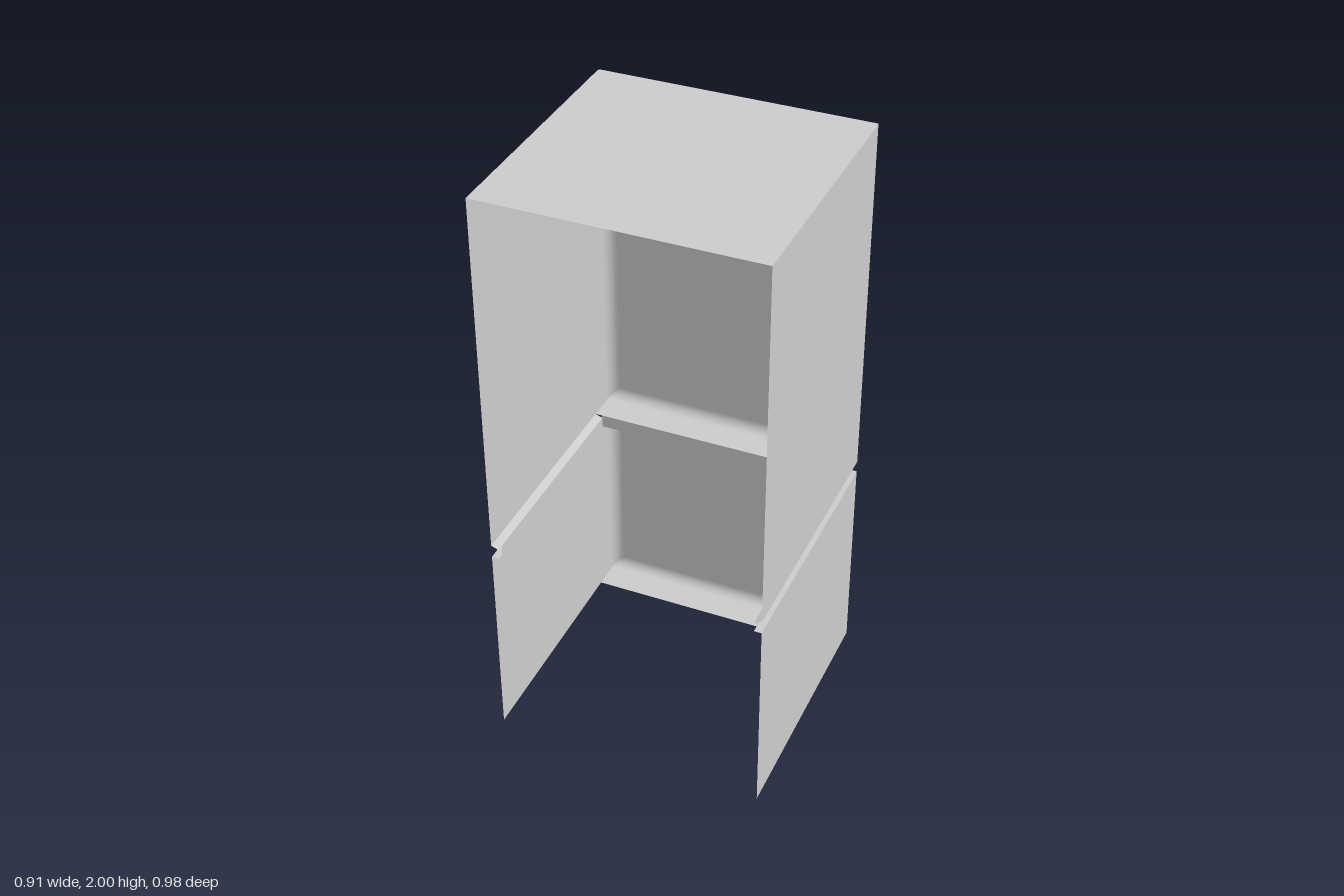
import * as THREE from 'three';

const W = 0.455, BACK = 0.487, DOOR = -0.405, R = 0.035;
const LIP = -0.28, NECK_W = 0.43, NECK_BACK = 0.465;
const UPPER_Y = 0.755, LOWER_Y = 0.71, SLOPE = 0.01;

const mat = new THREE.MeshStandardMaterial({ color: 0xcccccc, side: THREE.DoubleSide });

function add(group, name, geometry) {
  const mesh = new THREE.Mesh(geometry, mat);
  mesh.name = name;
  group.add(mesh);
  return mesh;
}

// Smooth surface between two rows of points
function patch(a, b) {
  const n = a.length, index = [];
  for (let i = 0; i < n - 1; i++) index.push(i, i + 1, n + i, i + 1, n + i + 1, n + i);
  const g = new THREE.BufferGeometry();
  g.setAttribute('position', new THREE.Float32BufferAttribute([...a, ...b].flat(), 3));
  g.setIndex(index);
  g.computeVertexNormals();
  return g;
}

// Open cabinet shell whose four sides curve over into the flat door
function shell(name, y0, y1, starts) {
  const group = new THREE.Group();
  group.name = name;
  const corners = [[1, 1], [-1, 1], [-1, -1], [1, -1]];
  const names = ['top', 'rightSide', 'bottomLip', 'leftSide'];
  const point = ([sx, sy], inset, z) =>
    [sx * (W - inset), sy > 0 ? y1 - inset : y0 + inset, z];
  corners.forEach((c, k) => {
    const next = corners[(k + 1) % 4];
    const profile = [[0, starts[k]]];
    for (let i = 0; i <= 8; i++) {
      const t = (i / 8) * Math.PI / 2;
      profile.push([R * (1 - Math.cos(t)), DOOR + R - R * Math.sin(t)]);
    }
    add(group, names[k], patch(
      profile.map(([d, z]) => point(c, d, z)),
      profile.map(([d, z]) => point(next, d, z))));
  });
  const door = add(group, 'door', new THREE.PlaneGeometry(2 * (W - R), y1 - y0 - 2 * R));
  door.rotation.y = Math.PI;
  door.position.set(0, (y0 + y1) / 2, DOOR);
  return group;
}

export function createModel() {
  const model = new THREE.Group();
  model.name = 'refrigerator';

  // Two stacked compartments, open at the rear
  model.add(shell('upperCabinet', UPPER_Y, 2, [BACK, BACK, LIP, BACK]));
  model.add(shell('lowerCabinet', 0, LOWER_Y, [LIP, BACK, LIP, BACK]));

  // Recessed neck with narrow ledges joining the compartments
  const neck = new THREE.Group();
  neck.name = 'neck';
  model.add(neck);
  for (const s of [1, -1]) {
    const row = (x, y, end = BACK) => {
      const r = [[s * x, y, end], [s * x, y, LIP]];
      return s > 0 ? r : r.reverse();
    };
    add(neck, 'upperLedge', patch(row(W, UPPER_Y), row(NECK_W, UPPER_Y - SLOPE)));
    add(neck, 'lowerLedge', patch(row(NECK_W, LOWER_Y), row(W, LOWER_Y)));
    add(neck, 'neckSide', patch(
      row(NECK_W, UPPER_Y - SLOPE, NECK_BACK), row(NECK_W, LOWER_Y, NECK_BACK)));
  }
  add(neck, 'neckFront', patch(
    [[NECK_W, UPPER_Y, LIP], [-NECK_W, UPPER_Y, LIP]],
    [[NECK_W, LOWER_Y, LIP], [-NECK_W, LOWER_Y, LIP]]));

  // Bowed handle, wider than it is thick
  const half = [[0.247, -0.396], [0.235, -0.41], [0.19, -0.443], [0.1, -0.475]];
  const path = [...half, [0, -0.484], ...half.map(([y, z]) => [-y, z]).reverse()]
    .map(([y, z]) => new THREE.Vector3(0, y, z));
  const handle = add(model, 'handle',
    new THREE.TubeGeometry(new THREE.CatmullRomCurve3(path), 48, 0.004, 12));
  handle.geometry.scale(1.75, 1, 1);
  handle.geometry.computeVertexNormals();
  handle.position.set(0.342, 1.36, 0);

  return model;
}
